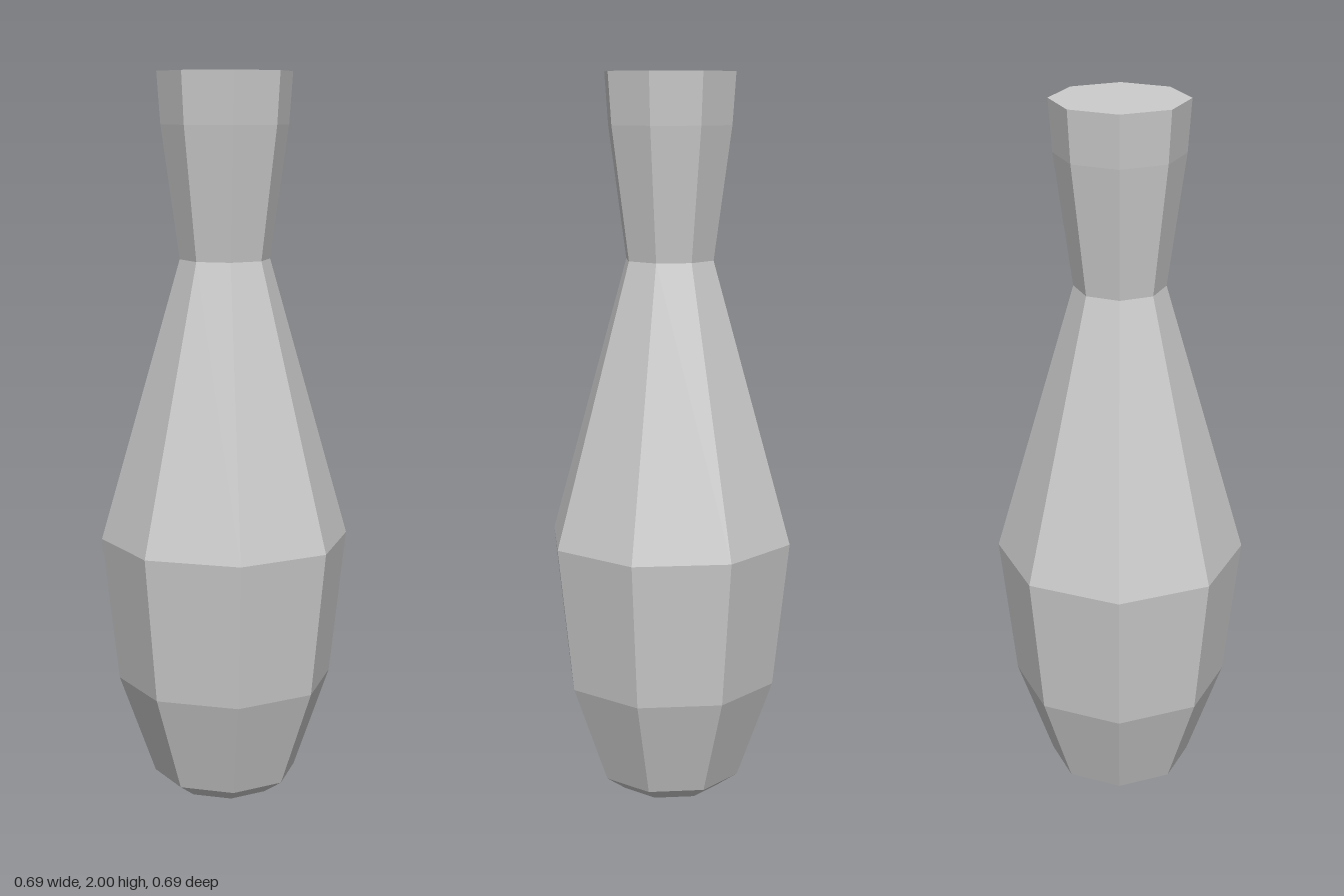
import * as THREE from 'three';

export function createModel() {
  const group = new THREE.Group();
  group.name = 'bowlingPin';

  // Profile from the base centre up to the flat top: radius, height
  const profile = [
    [0, 0], [0.143, 0], [0.2, 0.04], [0.3, 0.32], [0.345, 0.725],
    [0.124, 1.5], [0.174, 1.86], [0.184, 2], [0, 2],
  ].map(([r, y]) => new THREE.Vector2(r, y));

  // Eight-sided faceted body with corners on the x and z axes
  const body = new THREE.Mesh(
    new THREE.LatheGeometry(profile, 8),
    new THREE.MeshStandardMaterial({ color: 0xcccccc, flatShading: true })
  );
  body.name = 'pinBody';
  group.add(body);

  return group;
}
